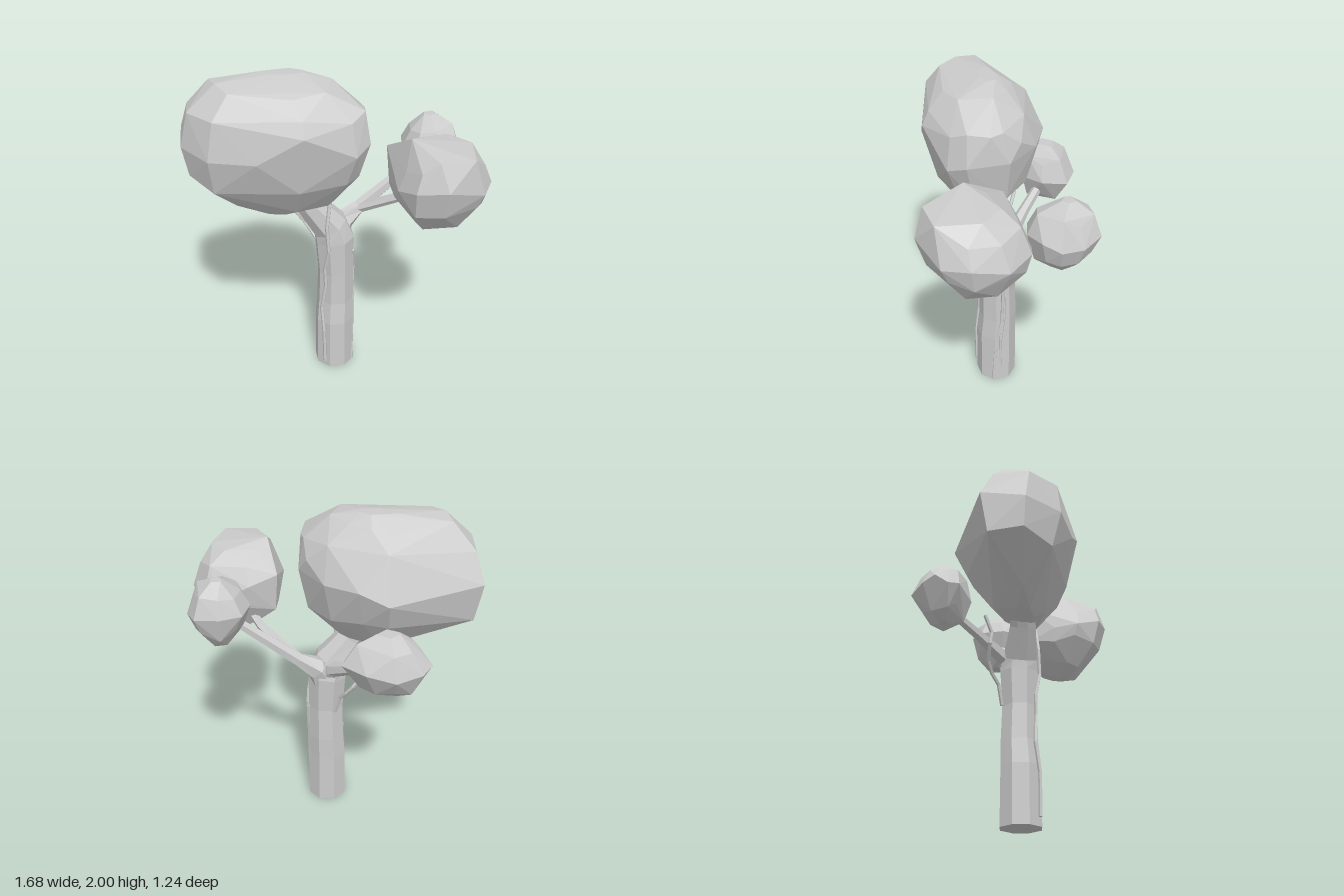
import * as THREE from 'three';
import { ConvexGeometry } from 'three/addons/geometries/ConvexGeometry.js';

const material = new THREE.MeshStandardMaterial({ color: 0xcccccc, flatShading: true });

function addMesh(parent, geometry, name) {
  const mesh = new THREE.Mesh(geometry, material);
  mesh.name = name;
  parent.add(mesh);
}

// Faceted tapered limb: each ring is [x, y, z, radius]
function limb(rings, sides) {
  const centres = rings.map(r => new THREE.Vector3(r[0], r[1], r[2]));
  const up = new THREE.Vector3(0, 1, 0), pos = [], idx = [];
  const n = rings.length;
  centres.forEach((c, i) => {
    const dir = centres[Math.min(i + 1, n - 1)].clone().sub(centres[Math.max(i - 1, 0)]).normalize();
    if (c.y === 0) dir.copy(up); // keep the foot level
    const q = new THREE.Quaternion().setFromUnitVectors(up, dir);
    for (let k = 0; k < sides; k++) {
      const a = (k + 0.5) / sides * Math.PI * 2;
      const p = new THREE.Vector3(Math.sin(a), 0, Math.cos(a)).multiplyScalar(rings[i][3]);
      pos.push(...p.applyQuaternion(q).add(c).toArray());
    }
  });
  for (let i = 0; i < n - 1; i++) {
    for (let k = 0; k < sides; k++) {
      const a = i * sides + k, b = i * sides + (k + 1) % sides;
      idx.push(a, b, b + sides, a, b + sides, a + sides);
    }
  }
  // end caps
  const last = (n - 1) * sides;
  for (let k = 1; k < sides - 1; k++) idx.push(0, k + 1, k, last, last + k, last + k + 1);
  const g = new THREE.BufferGeometry();
  g.setAttribute('position', new THREE.Float32BufferAttribute(pos, 3));
  g.setIndex(idx);
  const flat = g.toNonIndexed();
  flat.computeVertexNormals();
  return flat;
}

// Faceted leaf mass: hull of a widest belt of points and level sections
// [y, xMin, xMax, zMin, zMax] that repeat the belt's outline.
function leafMass({ belt, sections, corners = [] }) {
  const points = [...belt, ...corners].map(c => new THREE.Vector3(...c));
  sections.forEach(([y, x0, x1, z0, z1], i) => {
    const cap = i === 0 || i === sections.length - 1;
    const ring = belt.filter((_, k) => !cap || k % 2 === 0).map(b => new THREE.Vector2(b[0], b[2]));
    const box = new THREE.Box2().setFromPoints(ring);
    const size = box.getSize(new THREE.Vector2());
    ring.forEach((p, k) => {
      // zigzag in height breaks the sections into triangles
      const lift = cap ? 0 : 0.025 * Math.sin(k * 2.6 + i * 1.9);
      points.push(new THREE.Vector3(
        x0 + (x1 - x0) * (p.x - box.min.x) / size.x,
        y + lift,
        z0 + (z1 - z0) * (p.y - box.min.y) / size.y));
    });
  });
  return new ConvexGeometry(points);
}

const canopies = {
  mainCanopy: {
    belt: [
      [-0.84, 1.65, -0.2], [-0.32, 1.6, -0.38], [-0.16, 1.66, -0.34], [0.03, 1.65, -0.22], [0.13, 1.74, -0.09],
      [0.18, 1.65, -0.01], [0.18, 1.66, 0.24], [0.09, 1.62, 0.325], [-0.2, 1.77, 0.38], [-0.45, 1.62, 0.33],
      [-0.7, 1.62, 0.25], [-0.84, 1.63, 0.05],
    ],
    sections: [
      [1.18, -0.4, -0.22, -0.02, 0.1], [1.25, -0.56, -0.03, -0.14, 0.17], [1.43, -0.81, 0.13, -0.3, 0.3],
      [1.83, -0.79, 0.15, -0.28, 0.34], [1.94, -0.66, 0, -0.18, 0.24], [2, -0.36, -0.15, -0.08, 0.03],
    ],
    corners: [[-0.63, 1.98, 0.05], [0.17, 1.82, 0.1]],
  },
  frontCanopy: {
    belt: [
      [0.31, 1.57, 0.08], [0.48, 1.5, 0.055], [0.65, 1.42, 0.045], [0.745, 1.45, 0.08], [0.84, 1.43, 0.23],
      [0.82, 1.47, 0.42], [0.74, 1.46, 0.55], [0.52, 1.52, 0.62], [0.36, 1.5, 0.56], [0.3, 1.45, 0.41], [0.305, 1.42, 0.25],
    ],
    sections: [
      [1.15, 0.54, 0.6, 0.28, 0.34], [1.21, 0.42, 0.71, 0.16, 0.44], [1.35, 0.32, 0.81, 0.07, 0.57],
      [1.58, 0.34, 0.79, 0.1, 0.59], [1.67, 0.45, 0.72, 0.2, 0.56],
    ],
    corners: [[0.385, 1.71, 0.32]],
  },
  rightCanopy: {
    belt: [
      [0.48, 1.47, -0.25], [0.595, 1.48, -0.32], [0.74, 1.47, -0.3], [0.8, 1.45, -0.18], [0.795, 1.45, -0.06],
      [0.75, 1.5, 0.03], [0.615, 1.48, 0.06], [0.5, 1.47, 0.015], [0.45, 1.47, -0.1],
    ],
    sections: [
      [1.25, 0.58, 0.67, -0.2, -0.08], [1.35, 0.5, 0.76, -0.28, 0.02], [1.58, 0.5, 0.75, -0.28, 0.01],
      [1.65, 0.59, 0.66, -0.19, -0.12],
    ],
  },
  backCanopy: {
    belt: [
      [-0.56, 1.3, -0.46], [-0.505, 1.28, -0.535], [-0.36, 1.28, -0.62], [-0.2, 1.3, -0.58], [-0.07, 1.3, -0.475],
      [-0.16, 1.28, -0.35], [-0.3, 1.27, -0.27], [-0.515, 1.27, -0.325], [-0.56, 1.25, -0.385],
    ],
    sections: [
      [1.085, -0.41, -0.34, -0.44, -0.39], [1.15, -0.49, -0.17, -0.54, -0.31], [1.4, -0.48, -0.15, -0.57, -0.3],
      [1.475, -0.38, -0.25, -0.48, -0.38],
    ],
  },
};

const branches = {
  rightBranch: [[0.04, 0.92, 0, 0.1], [0.08, 1.02, -0.05, 0.072], [0.19, 1.095, -0.08, 0.043], [0.56, 1.38, -0.11, 0.03]],
  frontBranch: [[0.17, 1.08, -0.08, 0.034], [0.42, 1.23, 0.08, 0.028], [0.52, 1.32, 0.2, 0.026]],
  backBranch: [[0.01, 0.95, 0, 0.085], [-0.02, 1.03, -0.08, 0.05], [-0.14, 1.12, -0.22, 0.034], [-0.3, 1.24, -0.42, 0.028]],
};

const vines = {
  frontVine: [[-0.06, 0.05, 0.13], [-0.065, 0.3, 0.13], [-0.075, 0.48, 0.105], [-0.05, 0.65, 0.11], [-0.055, 0.78, 0.11],
    [-0.035, 0.92, 0.135], [-0.045, 1.08, 0.13], [-0.03, 1.2, 0.115], [-0.01, 1.36, 0.09]],
  sideVine: [[0.125, 0, 0.075], [0.13, 0.3, 0.06], [0.135, 0.5, 0.02], [0.14, 0.72, 0.015], [0.135, 0.8, 0.04], [0.125, 0.87, 0.065]],
  lowSideVine: [[0.125, 0, 0.03], [0.135, 0.35, 0.03], [0.135, 0.55, 0.005], [0.135, 0.7, 0.005]],
  backVine: [[-0.03, 0.72, -0.09], [-0.06, 0.84, -0.11], [-0.1, 0.9, -0.15], [-0.14, 0.96, -0.17],
    [-0.2, 1.05, -0.16], [-0.2, 1.12, -0.15], [-0.23, 1.22, -0.19]],
};

export function createModel() {
  const tree = new THREE.Group();
  tree.name = 'tree';

  // Trunk bending over into the thick left limb
  addMesh(tree, limb([
    [0.02, 0, 0.02, 0.128], [0.02, 0.35, 0.02, 0.126], [0.025, 0.5, 0.012, 0.118],
    [0.027, 0.72, 0.015, 0.113], [0.02, 0.95, 0.012, 0.124], [-0.01, 1.04, 0.018, 0.112],
    [-0.13, 1.2, 0.035, 0.085], [-0.28, 1.42, 0.03, 0.07],
  ], 8), 'trunk');

  for (const name in branches) addMesh(tree, limb(branches[name], 6), name);
  for (const name in canopies) addMesh(tree, leafMass(canopies[name]), name);

  // Thin vines clinging to the trunk
  for (const name in vines) {
    addMesh(tree, limb(vines[name].map(p => [...p, 0.012]), 5), name);
  }
  return tree;
}
